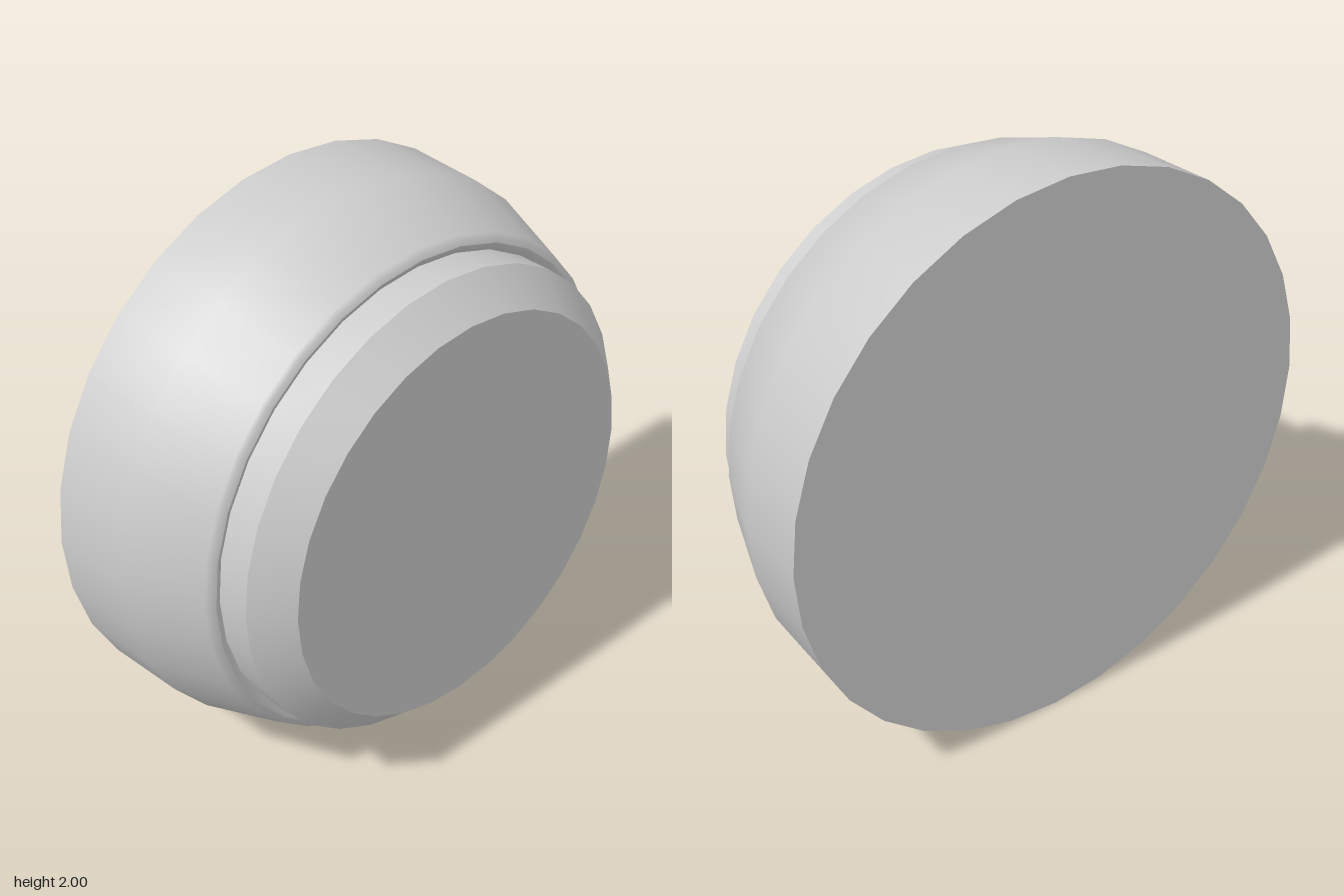
import * as THREE from 'three';
import { toCreasedNormals } from 'three/addons/utils/BufferGeometryUtils.js';

const SIDES = 32;
const material = new THREE.MeshStandardMaterial({ color: 0xcccccc });

// Turns a profile of [x, radius] points around the x axis.
function turned(name, profile) {
  const points = profile.map(([x, r]) => new THREE.Vector2(r, x));
  const geometry = new THREE.LatheGeometry(points, SIDES);
  geometry.rotateZ(-Math.PI / 2);
  const mesh = new THREE.Mesh(toCreasedNormals(geometry, 0.5), material);
  mesh.name = name;
  mesh.position.y = 1;
  return mesh;
}

export function createModel() {
  const group = new THREE.Group();
  group.name = 'knob';

  // Wide body with a flat back, tapering to a small rolled lip
  group.add(turned('body', [
    [-0.4, 0], [-0.4, 1], [-0.11, 0.987], [0.17, 0.888],
    [0.183, 0.877], [0.19, 0.86], [0.185, 0.845], [0.17, 0.83], [0.17, 0.8],
  ]));

  // Raised face with a chamfered rim
  group.add(turned('face', [
    [0.16, 0.83], [0.29, 0.83], [0.4, 0.72], [0.4, 0],
  ]));

  return group;
}
